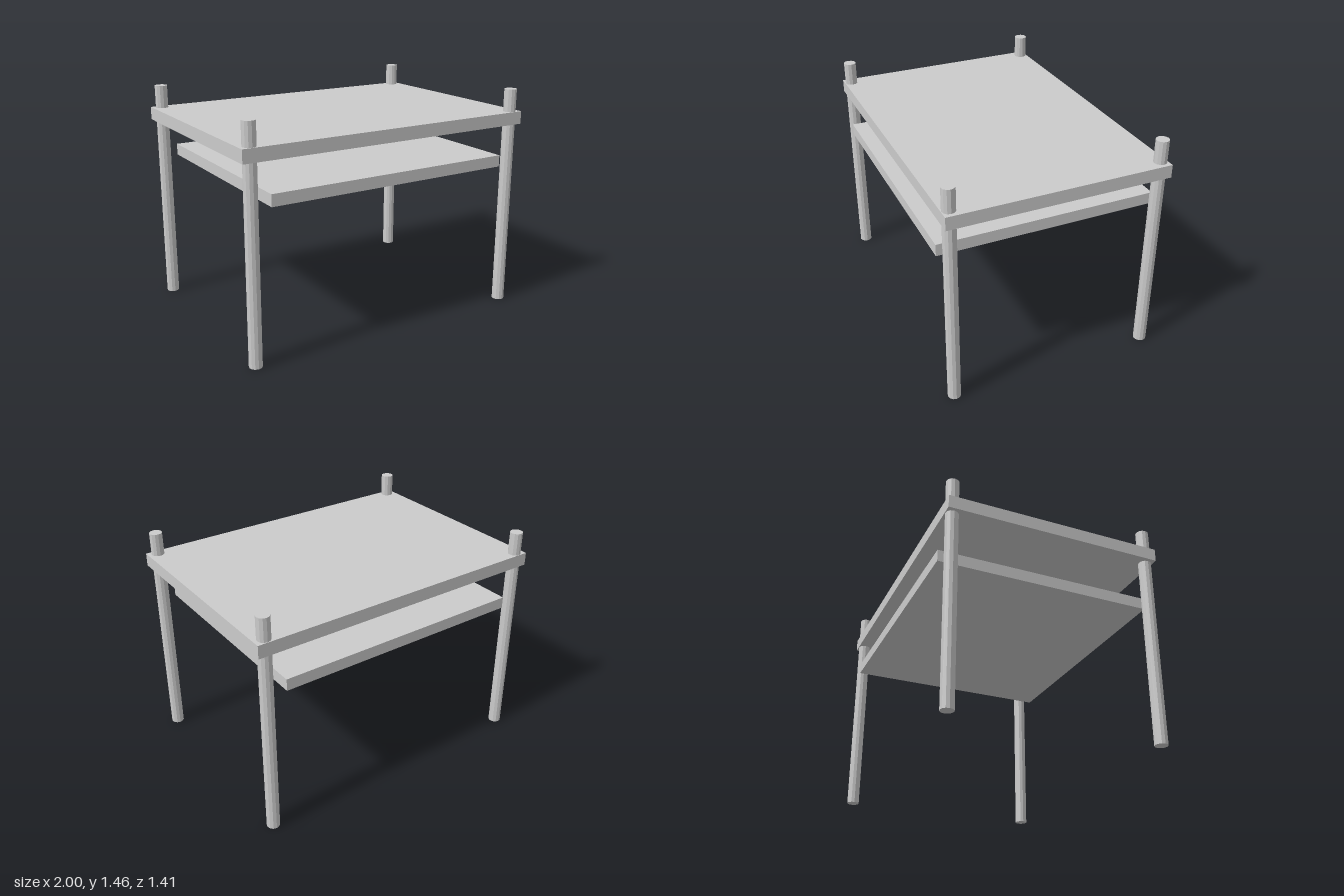
import * as THREE from 'three';

export function createModel() {
  const model = new THREE.Group();
  model.name = 'table';
  const material = new THREE.MeshStandardMaterial({ color: 0xcccccc, flatShading: true });

  const add = (name, geometry, x, y, z) => {
    const mesh = new THREE.Mesh(geometry, material);
    mesh.name = name;
    mesh.position.set(x, y, z);
    model.add(mesh);
  };

  // Top board and the narrower shelf hanging beneath it
  add('tableTop', new THREE.BoxGeometry(2, 0.083, 1.406), 0, 1.272, 0);
  add('lowerShelf', new THREE.BoxGeometry(1.664, 0.075, 1.406), 0, 1.003, 0);

  // Four round posts passing through the corners of the top
  const height = 1.46;
  const post = new THREE.CylinderGeometry(0.041, 0.041, height, 12);
  for (const [sideName, sx] of [['Left', 1], ['Right', -1]]) {
    for (const [endName, sz] of [['front', 1], ['back', -1]]) {
      add(`${endName}${sideName}Leg`, post, sx * 0.937, height / 2, sz * 0.659);
    }
  }

  return model;
}
